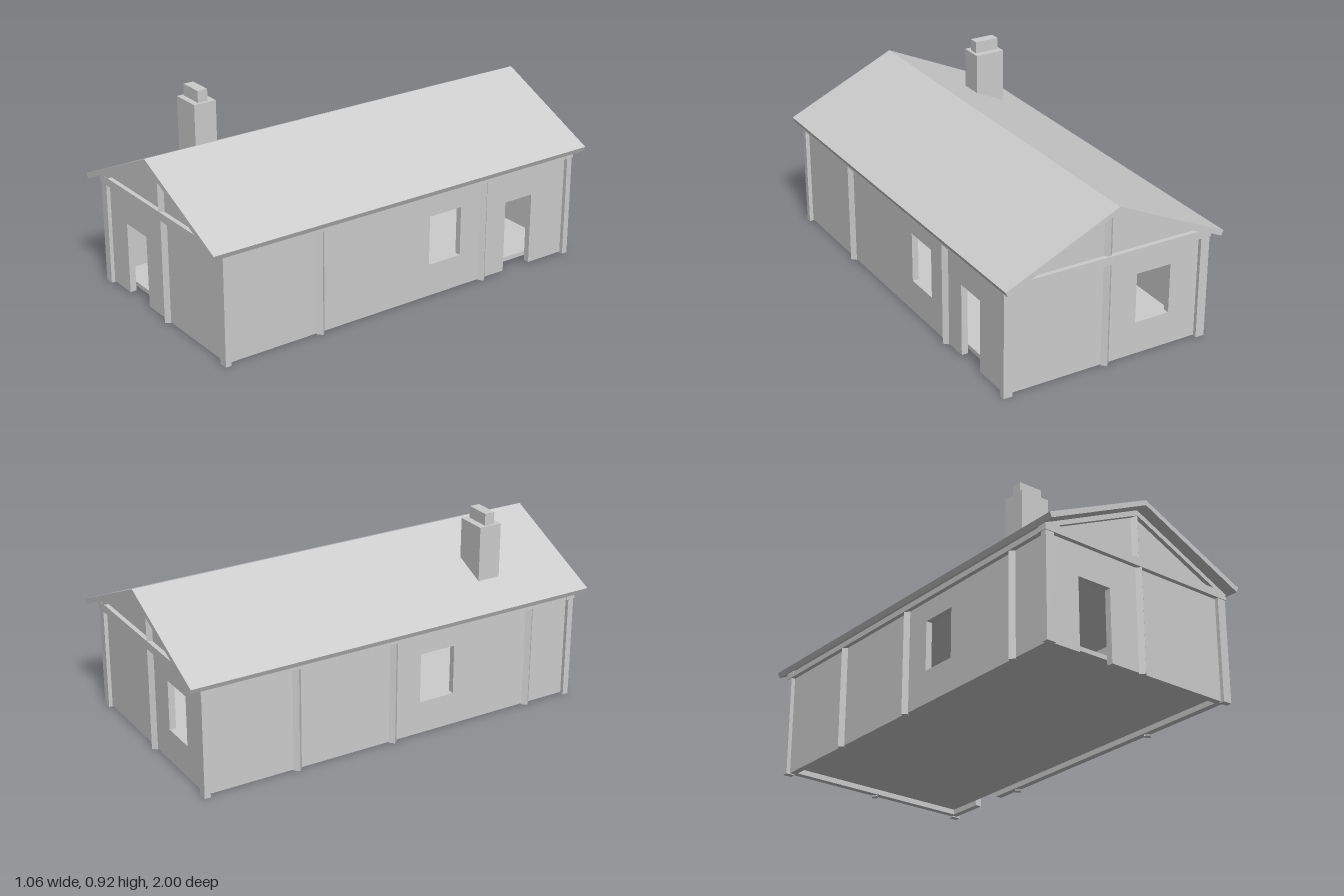
import * as THREE from 'three';

export function createModel() {
  const house = new THREE.Group();
  house.name = 'house';
  const grey = new THREE.MeshStandardMaterial({ color: 0xcccccc, flatShading: true });
  grey.name = 'plain grey';

  const add = (parent, name, geometry, x = 0, y = 0, z = 0) => {
    const mesh = new THREE.Mesh(geometry, grey);
    mesh.name = name;
    mesh.position.set(x, y, z);
    parent.add(mesh);
    return mesh;
  };
  // Box given by its limits on each axis
  const box = (parent, name, [x0, x1], [y0, y1], [z0, z1]) =>
    add(parent, name, new THREE.BoxGeometry(x1 - x0, y1 - y0, z1 - z0),
      (x0 + x1) / 2, (y0 + y1) / 2, (z0 + z1) / 2);
  const outline = (points) => new THREE.Shape(points.map(([x, y]) => new THREE.Vector2(x, y)));
  const extrude = (shape, depth) => new THREE.ExtrudeGeometry(shape, { depth, bevelEnabled: false });
  // Four-sided post with one edge facing outward
  const post = (parent, name, x, y0, y1, z) =>
    add(parent, name, new THREE.CylinderGeometry(0.02, 0.02, y1 - y0, 4), x, (y0 + y1) / 2, z);

  const T = 0.03, BASE = 0.005, PLATE = 0.485, BEAM = 0.52;
  const W = 0.485, D = 0.925, SLOPE = 0.457;

  // Each wall is built facing +z, then turned to its side
  const walls = [
    { name: 'frontWall', turn: 0, half: W, dist: D, door: [-0.32, -0.15, 0.34], posts: [0.015], gable: true },
    { name: 'backWall', turn: Math.PI, half: W, dist: D, window: [0.15, 0.32], posts: [0], gable: true },
    { name: 'leftWall', turn: Math.PI / 2, half: D - T, dist: W, door: [0.565, 0.72, 0.345],
      window: [0.13, 0.305], posts: [-0.455, 0.435] },
    { name: 'rightWall', turn: -Math.PI / 2, half: D - T, dist: W,
      window: [0.13, 0.305], posts: [-0.49, -0.01, 0.71] },
  ];
  for (const { name, turn, half, dist, door, window: win, posts, gable } of walls) {
    const side = new THREE.Group();
    side.name = name;
    side.rotation.y = turn;
    house.add(side);

    const points = [[-half, BASE]];
    if (door) points.push([door[0], BASE], [door[0], door[2]], [door[1], door[2]], [door[1], BASE]);
    points.push([half, BASE], [half, PLATE], [-half, PLATE]);
    const shape = outline(points);
    if (win) {
      shape.holes.push(new THREE.Path([[win[0], 0.157], [win[0], 0.39], [win[1], 0.39], [win[1], 0.157]]
        .map(([x, y]) => new THREE.Vector2(x, y))));
    }
    add(side, 'wallPanel', extrude(shape, T), 0, 0, dist - T);
    for (const x of posts) post(side, 'wallPost', x, 0, PLATE, dist);

    // Tie beam or wall plate on top of the wall
    const reach = gable ? 0.508 : D - 0.02;
    box(side, 'topBeam', [-reach, reach], [0.482, BEAM - (gable ? 0 : 0.013)], [dist - 0.025, dist + 0.021]);

    if (gable) {
      // Gable infill, king post and a pair of rafters
      const peak = 0.748, low = 0.721;
      const xo = (peak - BEAM) / SLOPE, xi = (low - BEAM) / SLOPE;
      add(side, 'gablePanel', extrude(outline([[-xo, BEAM], [xo, BEAM], [0, peak]]), T), 0, 0, dist - T);
      post(side, 'kingPost', 0, BEAM, 0.735, dist);
      add(side, 'rafters', extrude(outline([
        [-xo, BEAM], [-xi, BEAM], [0, low], [xi, BEAM], [xo, BEAM], [0, peak],
      ]), 0.035), 0, 0, dist - 0.015);
    }
  }

  // Corner posts
  for (const sx of [-1, 1]) {
    for (const sz of [-1, 1]) {
      add(house, 'cornerPost', new THREE.BoxGeometry(0.043, PLATE, 0.028), sx * 0.4825, PLATE / 2, sz * 0.929);
    }
  }

  // Raised floor inside the walls
  box(house, 'floor', [-W + T, W - T], [0.03, 0.05], [-D + T, D - T]);

  // Roof slabs with eave ends cut square to the slope
  const roof = outline([
    [-0.53, 0.528], [-0.52, 0.505], [0, 0.746], [0.52, 0.505], [0.53, 0.528], [0, 0.77],
  ]);
  add(house, 'roof', extrude(roof, 2), 0, 0, -1);

  // Chimney stack and flue
  box(house, 'chimneyStack', [-0.36, -0.215], [0.58, 0.86], [0.515, 0.625]);
  box(house, 'chimneyFlue', [-0.347, -0.23], [0.86, 0.915], [0.548, 0.597]);

  return house;
}
